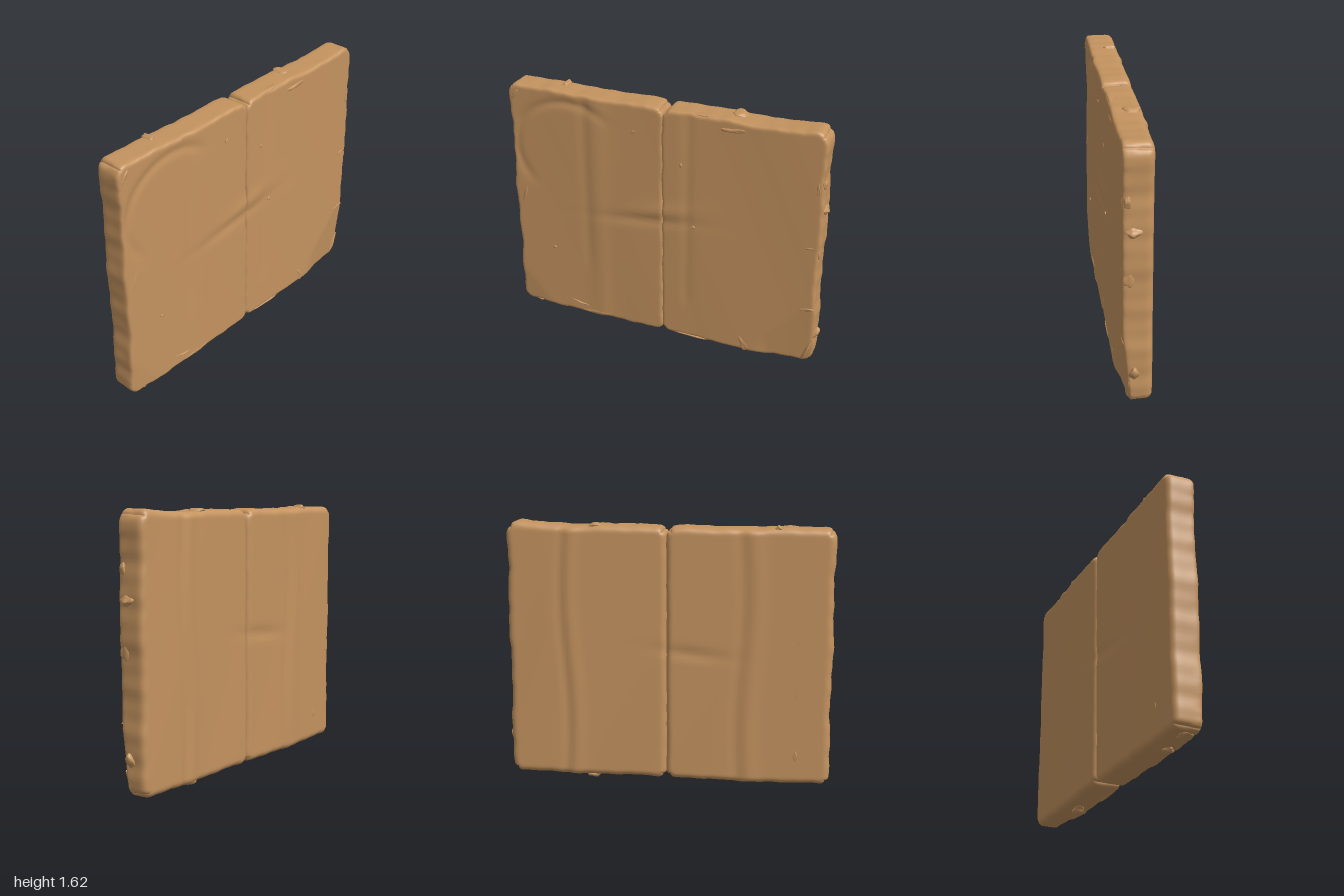
import * as THREE from 'three';
import { mergeVertices } from 'three/addons/utils/BufferGeometryUtils.js';

const clay = new THREE.MeshStandardMaterial({ color: 0xc4935f });
clay.name = 'tan clay';

const { sin, abs, max, min, hypot, exp, sign, PI } = Math;
const clamp = (v, h) => max(-h, min(h, v));
const bump = (d, w) => exp(-(d * d) / (w * w));
const step = THREE.MathUtils.smoothstep;
// soft irregular waviness for the hand-worked edges
const wave = (t, s) => 0.5 * sin(t * 9 + s) + 0.3 * sin(t * 23 + s * 2.3) + 0.2 * sin(t * 51 + s * 3.7);

// drops shared corners so that normals are smooth
function smooth(geometry) {
  geometry.deleteAttribute('uv');
  geometry.deleteAttribute('normal');
  const merged = mergeVertices(geometry, 1e-5);
  merged.computeVertexNormals();
  return merged;
}

// shallow creases and folds pressed into the front face
function frontRelief(x, y) {
  let d = -0.006 * bump(x + 0.5, 0.025) * step(y, 0.3, 0.6);
  d += 0.006 * bump(x + 0.42, 0.06);
  d -= 0.010 * bump(y - 0.83 - 0.12 * (x + 0.2), 0.03) * bump(x + 0.12, 0.28);
  d += 0.008 * bump(y - 0.92 - 0.2 * x, 0.05) * bump(x, 0.18);
  d -= 0.005 * bump(x - 0.16, 0.03) * step(y, 0.2, 0.4);
  // curved fold in the upper left corner
  d -= 0.008 * bump(hypot(x + 0.6, (y - 1.2) * 1.1) - 0.36, 0.03) * step(y - x, 1.7, 2.0);
  // lower corners slant away
  d -= 0.10 * max(0, x - y - 0.47) * step(x, 0.6, 0.7);
  d -= 0.05 * max(0, -0.72 - x - y * 0.9);
  return d;
}

// long ridges and a sideways dent on the back face
function backRelief(x, y) {
  const bend = 0.02 * sin(y * 4);
  let d = 0.008 * bump(x - 0.57 + bend, 0.04) - 0.008 * bump(x - 0.63 + bend, 0.025);
  d -= 0.03 * max(0, x - 0.65);
  d += 0.008 * bump(x + 0.52 - bend, 0.05) - 0.006 * bump(x + 0.44 - bend, 0.03);
  d -= 0.010 * bump(y - 0.85 - 0.1 * x, 0.03) * bump(x + 0.15, 0.2);
  d -= 0.010 * max(0, -x - 0.6);
  return d;
}

// one slab: a dense box, rounded at its rims and corners, then made uneven
function slab(name, x0, x1, y0, y1, seed) {
  const hx = (x1 - x0) / 2, hy = (y1 - y0) / 2, hz = 0.087, cx = (x0 + x1) / 2, cy = (y0 + y1) / 2;
  const g = new THREE.BoxGeometry(2, 2, 2, 56, 84, 12);
  const p = g.attributes.position;
  const crowd = (u) => 0.3 * u + 0.7 * sin(u * PI / 2);
  const v = new THREE.Vector3(), inner = new THREE.Vector3();
  for (let i = 0; i < p.count; i++) {
    v.set(crowd(p.getX(i)) * hx, crowd(p.getY(i)) * hy, crowd(p.getZ(i)) * hz);
    // crisp rim in front, softer rim at the back
    const r = v.z > 0 ? 0.022 : 0.042;
    inner.set(clamp(v.x, hx - r), clamp(v.y, hy - r), clamp(v.z, hz - r));
    v.sub(inner);
    const reach = max(abs(v.x), abs(v.y), abs(v.z));
    if (reach > 1e-6) v.setLength(reach);
    v.add(inner);
    // rounded corners of the outline
    const R = 0.06, qx = abs(v.x) - hx + R, qy = abs(v.y) - hy + R;
    if (qx > 0 && qy > 0) {
      const k = max(qx, qy) / hypot(qx, qy);
      v.x = sign(v.x) * (hx - R + qx * k);
      v.y = sign(v.y) * (hy - R + qy * k);
    }
    const x = v.x + cx, y = v.y + cy, z = v.z;
    const nearX = step(abs(v.x), hx - 0.1, hx), nearY = step(abs(v.y), hy - 0.1, hy);
    const nearZ = step(z, 0.02, hz);
    // uneven outline, rougher towards the front
    const sx = sign(v.x), sy = sign(v.y), outer = abs(x) > 0.5 ? 1 : 0.35;
    v.x += sx * nearX * (0.009 * outer * wave(y, seed + sx) + 0.004 * nearZ * wave(y * 2.3, seed));
    v.y += sy * nearY * (0.006 * wave(x, seed + sy) + 0.004 * nearZ * wave(x * 2.7, seed));
    if (y > 1) v.y += 0.016 * bump(x - 0.87, 0.15) * nearY;
    // faces
    if (z > 0) v.z += frontRelief(x, y) * z / hz;
    else v.z -= (backRelief(x, y) + 0.006) * -z / hz;
    v.z += 0.002 * sin(x * 7 + y * 3 + seed);
    p.setXYZ(i, v.x + cx, v.y + cy, v.z);
  }
  const mesh = new THREE.Mesh(smooth(g), clay);
  mesh.name = name;
  return mesh;
}

// a small torn lump of clay
function burr(name, [x, y, z, sx, sy, sz, turn = 0], seed) {
  const g = smooth(new THREE.IcosahedronGeometry(1, 3));
  const p = g.attributes.position;
  for (let i = 0; i < p.count; i++) {
    const a = p.getX(i), b = p.getY(i), c = p.getZ(i);
    const k = 1 + 0.22 * sin(a * 4 + seed) * sin(b * 3 + seed * 2) + 0.1 * sin(c * 5 + seed);
    p.setXYZ(i, a * k * sx, b * k * sy, c * k * sz);
  }
  g.computeVertexNormals();
  const mesh = new THREE.Mesh(g, clay);
  mesh.name = name;
  mesh.position.set(x, y, z);
  mesh.rotation.z = turn;
  return mesh;
}

export function createModel() {
  const model = new THREE.Group();
  model.name = 'pairedSlabs';
  model.add(slab('rightSlab', -0.993, 0.003, 0.037, 1.595, 1));
  model.add(slab('leftSlab', -0.005, 0.973, 0.042, 1.597, 4));

  // x, y, z, half sizes, turn
  const burrs = {
    bottomBurr: [
      [-0.7, 0.03, 0.03, 0.035, 0.018, 0.03], [0.46, 0.028, 0.0, 0.045, 0.022, 0.035, -0.3],
      [-0.9, 0.035, 0.02, 0.05, 0.012, 0.04],
    ],
    topBurr: [
      [-0.66, 1.595, -0.04, 0.018, 0.016, 0.04], [0.43, 1.598, -0.03, 0.05, 0.014, 0.045],
      [0.2, 1.59, 0.06, 0.14, 0.01, 0.02],
    ],
    sideBurr: [
      [0.975, 1.13, 0.03, 0.02, 0.03, 0.04, 0.5], [0.975, 0.25, 0.02, 0.02, 0.045, 0.03, -0.3],
      [0.965, 0.85, 0.05, 0.012, 0.06, 0.03], [0.968, 1.3, 0.06, 0.012, 0.03, 0.02],
    ],
    frontBurr: [
      [0.54, 0.09, 0.078, 0.025, 0.06, 0.014, 0.5], [0.43, 1.54, 0.08, 0.09, 0.014, 0.012, 0.05],
      [-0.45, 0.06, 0.08, 0.14, 0.012, 0.012, 0.03], [-0.58, 0.105, 0.084, 0.07, 0.007, 0.008, -0.2],
      [-0.93, 0.85, 0.082, 0.01, 0.07, 0.01, -0.3], [-0.95, 1.53, 0.075, 0.015, 0.05, 0.015, -0.7],
      [0.94, 1.27, 0.08, 0.012, 0.045, 0.012, 0.1], [0.92, 0.88, 0.083, 0.04, 0.009, 0.008, 0.2],
      [0.92, 0.45, 0.08, 0.05, 0.012, 0.01, 0.1], [0.94, 0.13, 0.05, 0.014, 0.08, 0.014, -0.4],
      [-0.975, 0.62, 0.075, 0.009, 0.1, 0.012, 0.05], [0.2, 0.05, 0.078, 0.13, 0.007, 0.01],
    ],
    speck: [
      [0.2, 0.86, 0.087, 0.012, 0.01, 0.007], [-0.74, 0.5, 0.088, 0.013, 0.009, 0.007],
      [-0.18, 1.42, 0.088, 0.008, 0.014, 0.006, -0.4], [0.12, 1.26, 0.087, 0.008, 0.013, 0.006],
    ],
    backBurr: [
      [-0.79, 0.95, -0.087, 0.01, 0.06, 0.007], [-0.79, 0.62, -0.087, 0.007, 0.06, 0.006],
      [-0.79, 0.22, -0.087, 0.012, 0.03, 0.007],
    ],
  };
  let seed = 1;
  for (const [name, list] of Object.entries(burrs)) {
    list.forEach((spec, i) => model.add(burr(name + (i + 1), spec, seed++)));
  }

  // ragged beads of clay along the front of the seam
  for (let i = 0; i < 9; i++) {
    const y = 0.2 + i * 0.15;
    model.add(burr('seamBead' + (i + 1), [0.004 * wave(y, 2), y, 0.062, 0.011, 0.055, 0.016, 0.06 * sin(i * 2)], i));
  }
  return model;
}
